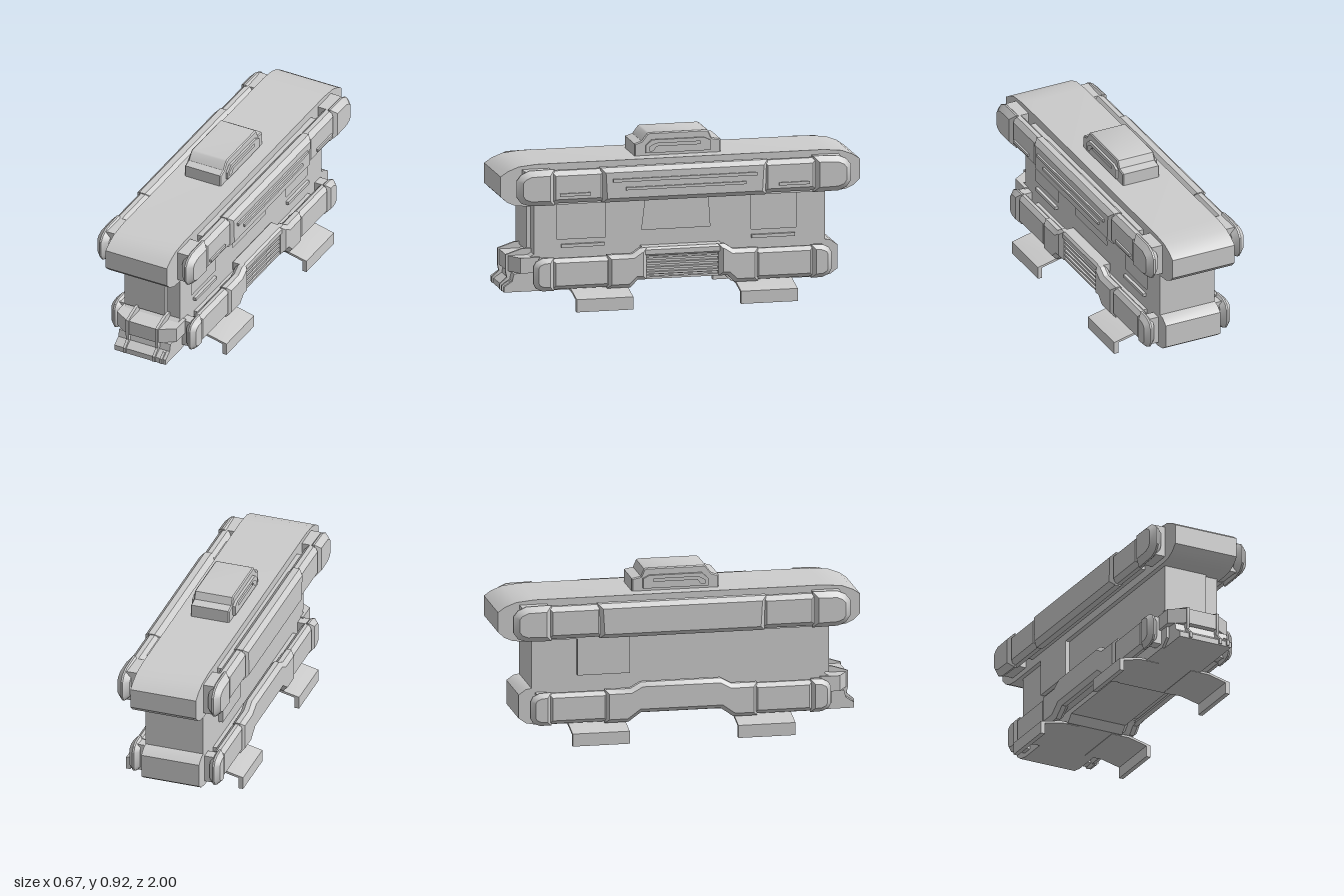
import * as THREE from 'three';
import { toCreasedNormals } from 'three/addons/utils/BufferGeometryUtils.js';

const material = new THREE.MeshStandardMaterial({ color: 0xcccccc });
const MID = -0.01; // mirror plane of the hull

export function createModel() {
  const model = new THREE.Group();

  const add = (name, geometry) => {
    const mesh = new THREE.Mesh(toCreasedNormals(geometry, 0.5), material);
    mesh.name = name;
    model.add(mesh);
    return mesh;
  };
  const box = (name, x0, x1, y0, y1, z0, z1) =>
    add(name, new THREE.BoxGeometry(x1 - x0, y1 - y0, z1 - z0)
      .translate((x0 + x1) / 2, (y0 + y1) / 2, (z0 + z1) / 2));
  // side outline of [z, y] points, extruded from xa to xb with chamfered rims
  const slab = (name, pts, xa, xb, c = 0, holes = []) => {
    const toPts = (list) => list.map(([z, y]) => new THREE.Vector2(-z, y));
    const shape = new THREE.Shape(toPts(pts));
    holes.forEach((h) => shape.holes.push(new THREE.Path(toPts(h))));
    const x0 = Math.min(xa, xb), x1 = Math.max(xa, xb);
    const g = new THREE.ExtrudeGeometry(shape, {
      depth: x1 - x0 - 2 * c, bevelEnabled: c > 0, bevelThickness: c,
      bevelSize: c, bevelOffset: -c, bevelSegments: 1,
    });
    return add(name, g.rotateY(Math.PI / 2).translate(x0 + c, 0, 0));
  };
  const rect = (z0, z1, y0, y1) => [[z0, y0], [z1, y0], [z1, y1], [z0, y1]];
  const flip = (pts) => pts.map(([z, y]) => [-z, y]).reverse();

  // Upper hull with rounded ends
  const upperEnd = [[0.86, 0.565], [0.92, 0.572], [0.965, 0.592], [1, 0.625],
    [1, 0.735], [0.96, 0.762], [0.9, 0.785], [0.8, 0.795]];
  slab('upperHull', [...upperEnd, ...flip(upperEnd)], -0.2, 0.175);

  // Lower hull with a raised belly
  slab('lowerHull', [[0.8, 0.09], [0.85, 0.13], [0.85, 0.27], [0.8, 0.3], [-0.78, 0.3],
    [-0.84, 0.29], [-0.88, 0.262], [-0.88, 0.13], [-0.84, 0.102], [-0.78, 0.09],
    [-0.29, 0.09], [-0.25, 0.13], [0.25, 0.13], [0.29, 0.09]], -0.175, 0.155);

  // Middle body with recessed bays on the +x side
  box('middleBody', -0.175, 0.125, 0.28, 0.58, -0.81, 0.81);
  slab('baySide', rect(-0.81, 0.81, 0.28, 0.58), 0.125, 0.155, 0, [
    rect(0.41, 0.68, 0.37, 0.562), rect(-0.65, -0.4, 0.37, 0.562),
    [[-0.17, 0.4], [0.21, 0.4], [0.19, 0.562], [-0.16, 0.562]],
  ]);
  box('frontDoor', -0.175, 0.075, 0.3, 0.57, 0.8, 0.832);
  box('sidePanel', -0.2, -0.17, 0.36, 0.57, -0.56, -0.27);
  for (const z of [0.54, -0.52]) box('bayStep', 0.15, 0.172, 0.325, 0.343, z - 0.12, z + 0.12);

  // Side pods on both flanks
  const upperCap = [[0.72, 0.58], [0.86, 0.583], [0.905, 0.6], [0.93, 0.635],
    [0.93, 0.725], [0.905, 0.757], [0.86, 0.777], [0.72, 0.78]];
  const lowerCap = [[0.715, 0.1], [0.78, 0.102], [0.815, 0.118], [0.83, 0.145],
    [0.83, 0.238], [0.815, 0.265], [0.78, 0.282], [0.715, 0.285]];
  const shoulder = [[0.42, 0.1], [0.42, 0.285], [0.28, 0.285], [0.235, 0.315],
    [0.2, 0.315], [0.2, 0.14], [0.25, 0.14], [0.29, 0.1]];
  const arch = [[0.42, 0.1], [0.42, 0.285], [0.28, 0.285], [0.22, 0.318],
    [-0.22, 0.318], [-0.28, 0.285], [-0.42, 0.285], [-0.42, 0.1],
    [-0.29, 0.1], [-0.22, 0.15], [0.22, 0.15], [0.29, 0.1]];
  for (const s of [1, -1]) {
    const at = (a) => MID + s * a;
    slab('upperRail', rect(-0.65, 0.65, 0.61, 0.75), at(0.18), at(0.23));
    slab('upperPodCentre', [[-0.455, 0.583], [0.455, 0.583], [0.465, 0.775], [-0.465, 0.775]],
      at(0.21), at(0.295), 0.025);
    slab('lowerRail', rect(-0.65, 0.65, 0.16, 0.25), at(0.16), at(0.215));
    for (const e of [1, -1]) {
      const end = (pts) => (e > 0 ? pts : flip(pts));
      slab('upperPodCap', end(upperCap), at(0.225), at(0.295), 0.03);
      slab('upperPodMount', end(rect(0.73, 0.88, 0.595, 0.77)), at(0.18), at(0.25));
      slab('upperPodLink', end(rect(0.44, 0.74, 0.59, 0.77)), at(0.21), at(0.285), 0.025);
      slab('lowerPodCap', end(lowerCap), at(0.2), at(0.26), 0.025);
      slab('lowerPodMount', end(rect(0.73, 0.79, 0.115, 0.272)), at(0.16), at(0.22));
      slab('lowerPodLink', end(rect(0.4, 0.73, 0.108, 0.278)), at(0.19), at(0.252), 0.022);
      if (s > 0) slab('lowerPodShoulder', end(shoulder), at(0.19), at(0.26), 0.022);
    }
    if (s < 0) slab('lowerPodArch', arch, at(0.19), at(0.26), 0.022);
  }

  // Grille between the shoulders and trim strips on the +x side
  slab('grilleBeam', rect(-0.22, 0.22, 0.265, 0.315), 0.15, 0.235, 0.012);
  for (let i = 0; i < 5; i++) {
    const y = 0.14 + i * 0.026;
    box('grilleBar', 0.195, 0.225, y, y + 0.012, -0.22, 0.22);
  }
  box('trimStrip', 0.28, 0.295, 0.698, 0.715, -0.4, 0.4);
  box('trimStrip', 0.28, 0.295, 0.652, 0.667, -0.34, 0.33);
  for (const z of [0.61, -0.61]) box('trimStrip', 0.27, 0.285, 0.632, 0.648, z - 0.085, z + 0.085);

  // Bent feet
  for (const s of [1, -1]) {
    for (const z of [0.3, -0.615]) {
      const p = [[0.1, 0.1], [0.21, 0.1], [0.335, 0.07], [0.335, 0], [0.31, 0],
        [0.31, 0.063], [0.205, 0.088], [0.1, 0.088]];
      const shape = new THREE.Shape(p.map(([x, y]) => new THREE.Vector2(s * x, y)));
      add('foot', new THREE.ExtrudeGeometry(shape, { depth: 0.315, bevelEnabled: false })
        .translate(0, 0, z));
    }
  }

  // Front bumper band wrapping the corners, seen in plan
  const plan = [[-0.19, 0.78], [-0.19, 0.89], [-0.1, 0.945], [0.085, 0.945],
    [0.175, 0.89], [0.175, 0.78]].map(([x, z]) => new THREE.Vector2(x, -z));
  add('frontBumper', new THREE.ExtrudeGeometry(new THREE.Shape(plan), { depth: 0.085, bevelEnabled: false })
    .rotateX(-Math.PI / 2).translate(0, 0.195, 0));
  slab('frontSkid', [[0.78, 0.09], [0.975, 0.09], [0.975, 0.12], [0.93, 0.15], [0.92, 0.19],
    [0.78, 0.2]], -0.16, 0.155);
  for (const x of [-0.095, 0.085]) {
    slab('bumperRib', [[0.8, 0.095], [0.985, 0.095], [0.985, 0.125], [0.945, 0.16], [0.952, 0.19],
      [0.952, 0.285], [0.86, 0.315], [0.8, 0.315]], x - 0.008, x + 0.008);
  }
  slab('skidRib', [[0.85, 0.095], [0.985, 0.095], [0.985, 0.125], [0.95, 0.15], [0.85, 0.15]], 0.123, 0.138);

  // Roof unit with side pads
  slab('roofUnit', [[0.235, 0.78], [0.235, 0.862], [0.195, 0.875], [0.165, 0.915], [0.155, 0.92],
    [-0.165, 0.92], [-0.177, 0.915], [-0.195, 0.875], [-0.245, 0.865], [-0.245, 0.78]], -0.125, 0.095, 0.006);
  const pad = [[0.175, 0.81], [0.175, 0.85], [0.14, 0.882], [-0.15, 0.882], [-0.185, 0.865], [-0.185, 0.81]];
  const slot = [[0.155, 0.822], [0.155, 0.842], [0.12, 0.862], [-0.13, 0.862], [-0.13, 0.848],
    [0.115, 0.848], [0.135, 0.822]];
  slab('roofPad', pad, 0.09, 0.108, 0, [slot]);
  slab('roofPad', pad, -0.14, -0.12, 0, [slot]);

  return model;
}
